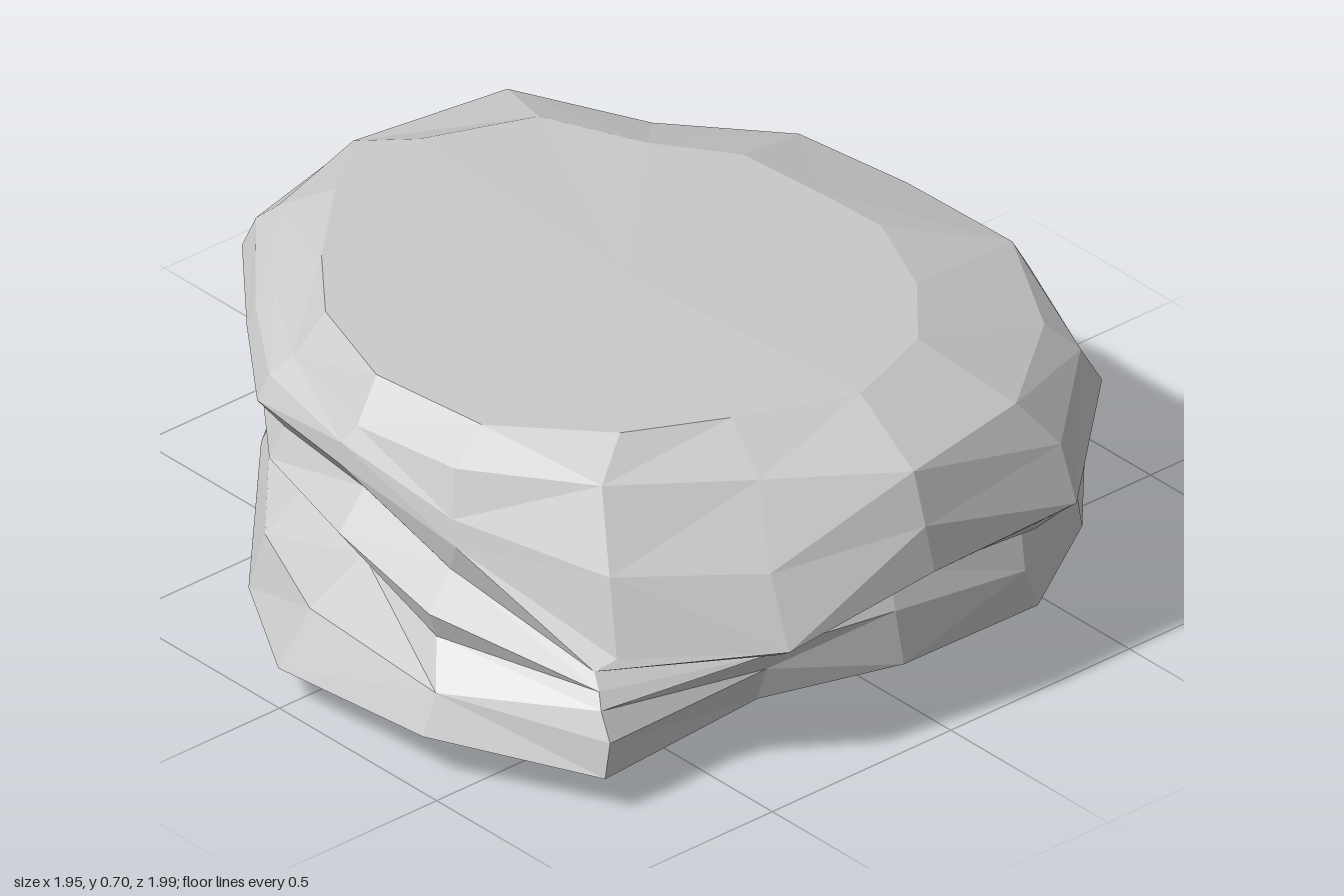
import * as THREE from 'three';

// Radii of the main contours, every 22.5 degrees from +x towards +z
const LIP = [0.86, 0.81, 1.09, 1.05, 0.99, 0.87, 0.8, 0.82, 0.82, 0.82, 0.75, 0.88, 1, 1, 0.94, 0.93];
const GROOVE = [0.81, 0.83, 1.04, 0.92, 0.77, 0.74, 0.77, 0.8, 0.8, 0.82, 0.74, 0.75, 0.75, 0.78, 0.88, 0.9];
const BULGE = [0.96, 0.98, 0.96, 0.88, 0.82, 0.84, 0.82, 0.93, 0.99, 0.95, 0.77, 0.82, 0.82, 0.88, 0.98, 1.03];
const RIM = [0.9, 0.78, 0.79, 0.82, 0.79, 0.76, 0.76, 0.85, 0.88, 0.9, 0.74, 0.79, 0.77, 0.83, 0.86, 0.9];
// Heights of the groove and of the bulge above it, which dip at the front left corner
const GROOVE_Y = [0.32, 0.21, 0.2, 0.26, 0.28, 0.28, 0.28, 0.28, 0.28, 0.28, 0.28, 0.31, 0.32, 0.32, 0.3, 0.28];
const BULGE_Y = [0.37, 0.29, 0.3, 0.45, 0.52, 0.51, 0.5, 0.49, 0.48, 0.5, 0.5, 0.5, 0.5, 0.5, 0.45, 0.4];
const SIDES = LIP.length;

const mix = THREE.MathUtils.lerp;

// Seeded generator, -1 to 1
function makeNoise(seed) {
  let s = seed;
  return () => {
    s = (s * 16807) % 2147483647;
    return (s / 2147483647) * 2 - 1;
  };
}

// Outline of one side from base to crown, as [radius, height, roughness]
function sideProfile(j, angle) {
  const lip = LIP[j], groove = GROOVE[j], bulge = BULGE[j], rim = RIM[j];
  const gy = GROOVE_Y[j], by = BULGE_Y[j];
  const front = Math.sin(angle);
  const ledge = Math.max(0, front - 0.7) * 0.16; // extra shelf inside the front hollow
  const lipY = 0.1 - 0.025 * front;
  return [
    [lip * 0.85, 0.02, 0],
    [lip, lipY, 0.012],
    [mix(lip, groove, 0.3), mix(lipY, gy, 0.6), 0.012],
    [groove, gy, 0.012],
    [mix(groove, bulge, 0.35) + ledge, mix(gy, by, 0.33), 0.008],
    [mix(groove, bulge, 0.75) - ledge, mix(gy, by, 0.67), 0.008],
    [bulge, by, 0.012],
    [mix(bulge, rim, 0.45) + 0.01, mix(by, 0.605, 0.5), 0.01],
    [rim, 0.605, 0.012],
    [rim * (0.78 + 0.13 * front), 0.688, 0.004],
  ];
}

function rockGeometry() {
  const noise = makeNoise(4711);
  const points = [];
  const index = [];
  let rings = 0;

  for (let j = 0; j < SIDES; j++) {
    const angle = (j / SIDES) * Math.PI * 2;
    const profile = sideProfile(j, angle);
    rings = profile.length;
    for (const [radius, y, rough] of profile) {
      const a = angle + noise() * 0.03;
      const z = Math.sin(a) * radius;
      points.push(Math.cos(a) * radius, y + z * 0.02 + noise() * rough, z);
    }
  }

  // Skin between neighbouring sides, facet diagonals running either way
  const id = (ring, side) => (side % SIDES) * rings + ring;
  const base = SIDES * rings;
  points.push(0, 0.03, 0, 0.02, 0.7, 0.05);
  for (let j = 0; j < SIDES; j++) {
    for (let i = 0; i < rings - 1; i++) {
      const p = id(i, j), q = id(i, j + 1), s = id(i + 1, j + 1), t = id(i + 1, j);
      if (noise() > 0) index.push(p, t, q, t, s, q);
      else index.push(p, t, s, p, s, q);
    }
    // Underside and flat crown
    index.push(base, id(0, j), id(0, j + 1));
    index.push(base + 1, id(rings - 1, j + 1), id(rings - 1, j));
  }

  const geometry = new THREE.BufferGeometry();
  geometry.setAttribute('position', new THREE.Float32BufferAttribute(points, 3));
  geometry.setIndex(index);
  const faceted = geometry.toNonIndexed();
  faceted.computeVertexNormals();
  return faceted;
}

export function createModel() {
  const group = new THREE.Group();
  group.name = 'flatRock';
  const rock = new THREE.Mesh(
    rockGeometry(),
    new THREE.MeshStandardMaterial({ color: 0xcccccc, flatShading: true })
  );
  rock.name = 'rock';
  group.add(rock);
  return group;
}
